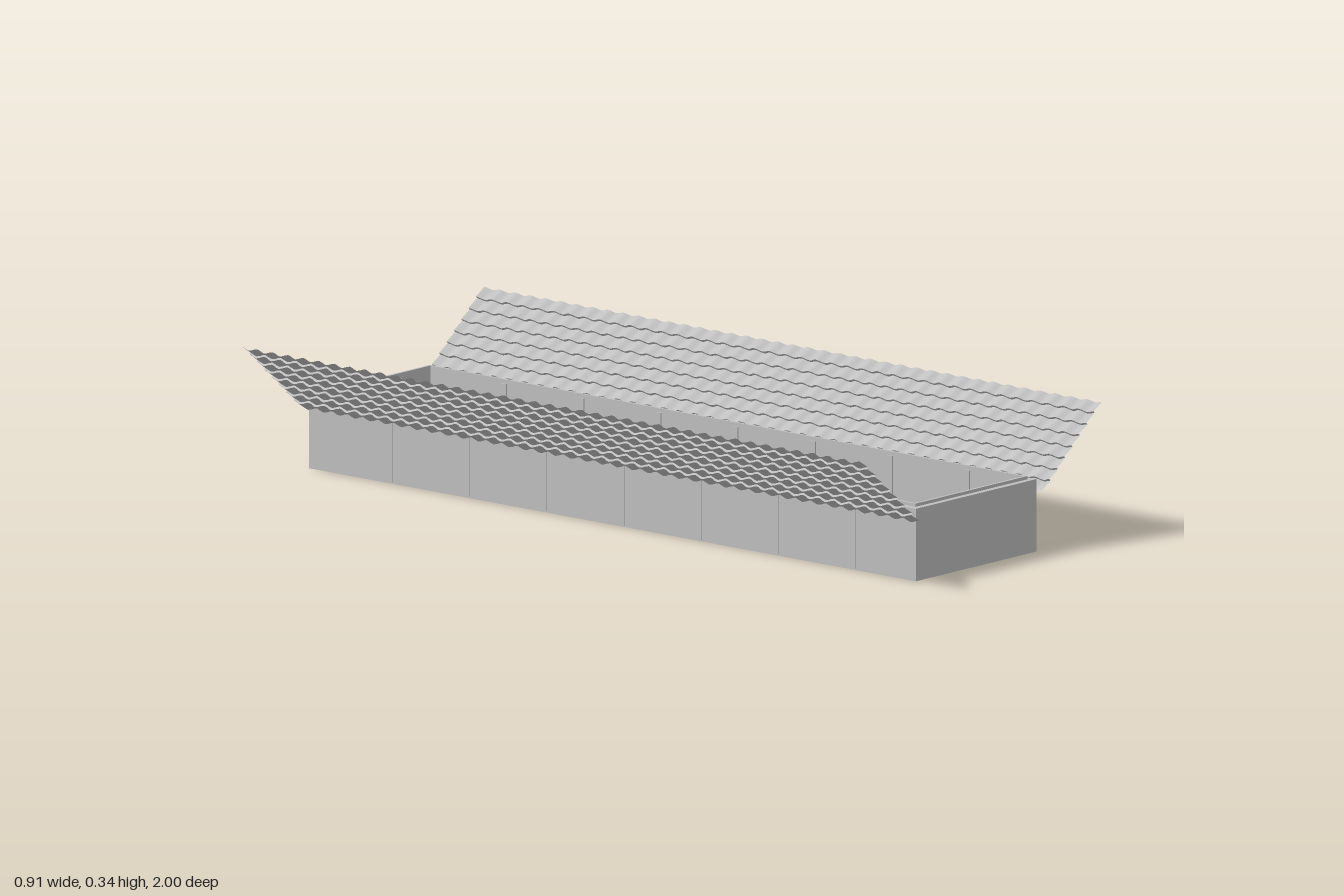
import * as THREE from 'three';
import { mergeGeometries } from 'three/addons/utils/BufferGeometryUtils.js';

const CENTRE_Z = 0.01;

// Lofts rectangles [halfX, halfZ, y] into a flat-faced skin, optionally capped
function loftRects(rects, capStart, capEnd) {
  const pos = [];
  const loops = rects.map(([x, z, y]) =>
    [[x, y, z], [x, y, -z], [-x, y, -z], [-x, y, z]]);
  const quad = (a, b, c, d) => pos.push(...a, ...b, ...c, ...a, ...c, ...d);
  for (let i = 0; i < loops.length - 1; i++) {
    for (let k = 0; k < 4; k++) {
      const n = (k + 1) % 4;
      quad(loops[i][k], loops[i][n], loops[i + 1][n], loops[i + 1][k]);
    }
  }
  if (capStart) quad(...[...loops[0]].reverse());
  if (capEnd) quad(...loops[loops.length - 1]);
  const g = new THREE.BufferGeometry();
  g.setAttribute('position', new THREE.Float32BufferAttribute(pos, 3));
  g.computeVertexNormals();
  return g;
}

// Sloping sheet of overlapping wavy tile rows; side is +1 or -1 in x
function tileSheet(side) {
  const rows = 8, waves = 40, length = 1.985;
  const low = new THREE.Vector2(0.231, 0.148), high = new THREE.Vector2(0.449, 0.336);
  const dir = high.clone().sub(low);
  const normal = new THREE.Vector2(-dir.y, dir.x).normalize();
  const strip = (t0, h0, t1, h1) => {
    const g = new THREE.PlaneGeometry(1, length, 1, waves * 6);
    const p = g.attributes.position;
    for (let i = 0; i < p.count; i++) {
      const upper = p.getX(i) > 0;
      const z = p.getY(i);
      const t = upper ? t1 : t0;
      const h = (upper ? h1 : h0) +
        0.004 * Math.cos((z / length + 0.5) * waves * Math.PI * 2);
      p.setXYZ(i, side * (low.x + dir.x * t + normal.x * h),
        low.y + dir.y * t + normal.y * h, z + 0.0075);
    }
    g.computeVertexNormals();
    return g;
  };
  const parts = [];
  for (let r = 0; r < rows; r++) {
    parts.push(strip(r / rows, 0.003, (r + 1) / rows, -0.003));
    if (r > 0) parts.push(strip(r / rows, -0.003, r / rows, 0.003));
  }
  return mergeGeometries(parts);
}

export function createModel() {
  const model = new THREE.Group();
  const grey = new THREE.MeshStandardMaterial({ color: 0xc0c0c0 });
  grey.name = 'stoneGrey';
  const greySheet = new THREE.MeshStandardMaterial({ color: 0xc0c0c0, side: THREE.DoubleSide });
  greySheet.name = 'tileGrey';

  const add = (name, geometry, x = 0, y = 0, z = 0, material = grey, parent = model) => {
    const mesh = new THREE.Mesh(geometry, material);
    mesh.name = name;
    mesh.position.set(x, y, z);
    parent.add(mesh);
    return mesh;
  };

  // Trough: recessed underside, outer walls, stepped rim, inner walls
  add('basinWalls', loftRects([
    [0.17, 0.92, 0.006], [0.17, 0.92, 0], [0.223, 0.975, 0], [0.223, 0.975, 0.18],
    [0.207, 0.96, 0.18], [0.207, 0.96, 0.188], [0.2, 0.953, 0.188], [0.2, 0.953, 0.028],
  ], true, false), 0, 0, CENTRE_Z);

  // Floor: sloping border around a shallow sunken panel
  add('basinFloor', loftRects([
    [0.2, 0.953, 0.028], [0.166, 0.918, 0.036], [0.162, 0.914, 0.036], [0.162, 0.914, 0.028],
  ], false, true), 0, 0, CENTRE_Z);

  // Upright posts through both long walls
  const posts = new THREE.Group();
  posts.name = 'wallPosts';
  model.add(posts);
  const postShape = new THREE.BoxGeometry(0.0285, 0.174, 0.016);
  for (const side of [-1, 1]) {
    for (let i = -3; i <= 3; i++) {
      add('wallPost', postShape, side * 0.21025, 0.091, 0.04 + i * 0.248, grey, posts);
    }
  }

  // Tiled panels flaring up on each side
  add('leftTilePanel', tileSheet(1), 0, 0, 0, greySheet);
  add('rightTilePanel', tileSheet(-1), 0, 0, 0, greySheet);

  // Overflow pipe: riser inside the back wall, hooked over the rim, with a lower outlet
  const pipe = new THREE.Group();
  pipe.name = 'overflowPipe';
  pipe.position.x = -0.13;
  model.add(pipe);
  const v = (y, z) => new THREE.Vector3(0, y, z);
  const path = new THREE.CurvePath();
  path.add(new THREE.LineCurve3(v(0.05, -0.928), v(0.182, -0.928)));
  path.add(new THREE.QuadraticBezierCurve3(v(0.182, -0.928), v(0.195, -0.928), v(0.195, -0.943)));
  path.add(new THREE.LineCurve3(v(0.195, -0.943), v(0.195, -1)));
  add('pipeRiser', new THREE.TubeGeometry(path, 40, 0.01, 10), 0, 0, 0, greySheet, pipe);
  const outlet = new THREE.CylinderGeometry(0.01, 0.01, 0.075, 10).rotateX(Math.PI / 2);
  add('pipeOutlet', outlet, 0, 0.055, -0.9625, grey, pipe);
  const endCap = new THREE.CylinderGeometry(0.0115, 0.0115, 0.01, 10).rotateX(Math.PI / 2);
  add('pipeMouth', endCap, 0, 0.195, -0.995, grey, pipe);
  add('pipeFoot', new THREE.CylinderGeometry(0.014, 0.014, 0.025, 10), 0, 0.05, -0.928, grey, pipe);

  return model;
}
